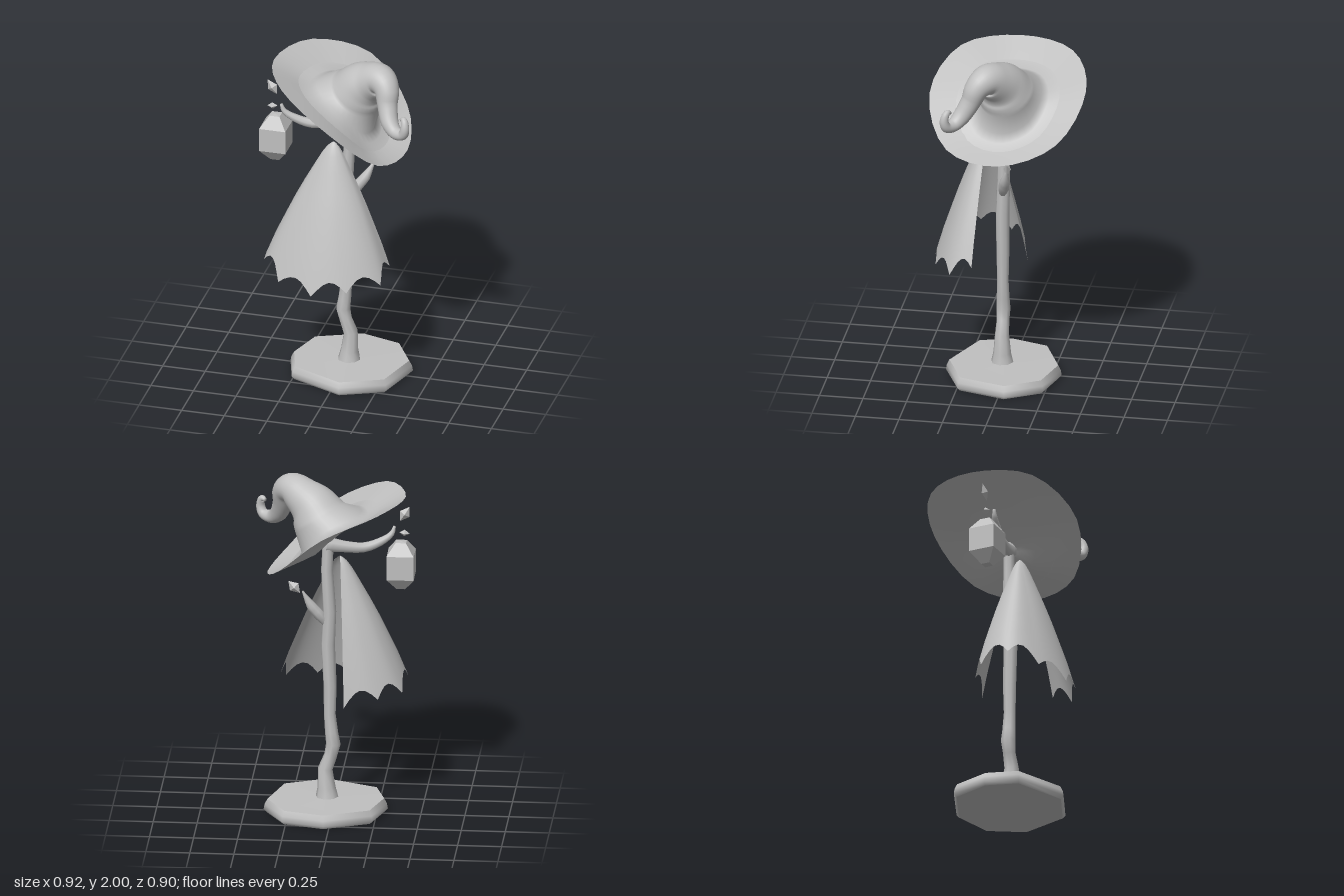
import * as THREE from 'three';

const grey = new THREE.MeshStandardMaterial({ color: 0xc0c0c0, side: THREE.DoubleSide });
grey.name = 'plain grey';

const V = (x, y, z) => new THREE.Vector3(x, y, z);

// Skin a list of point rows; columns wrap round when closed
function skin(rows, closed, flat) {
  const n = rows[0].length;
  const index = [];
  for (let i = 0; i < rows.length - 1; i++) {
    for (let j = 0; j < (closed ? n : n - 1); j++) {
      const k = (j + 1) % n;
      const a = i * n + j, b = i * n + k, c = a + n, d = b + n;
      index.push(a, b, c, b, d, c);
    }
  }
  let geo = new THREE.BufferGeometry().setFromPoints(rows.flat());
  geo.setIndex(index);
  if (flat) geo = geo.toNonIndexed();
  geo.computeVertexNormals();
  return geo;
}

// Tapered limb along a spline; each station is [x, y, z, radius]; skirt rows may come first
function limb(stations, sides, steps, skirt = []) {
  const curve = new THREE.CatmullRomCurve3(stations.map(s => V(s[0], s[1], s[2])));
  const rows = [];
  const last = stations.length - 1;
  const normal = V(1, 0, 0.1);
  for (let i = 0; i <= steps; i++) {
    const t = i / steps;
    const p = curve.getPoint(t), tan = curve.getTangent(t);
    normal.addScaledVector(tan, -normal.dot(tan)).normalize();
    const side = tan.clone().cross(normal);
    const k = Math.min(Math.floor(t * last), last - 1);
    const r = THREE.MathUtils.lerp(stations[k][3], stations[k + 1][3], t * last - k);
    rows.push(Array.from({ length: sides }, (_, j) => {
      const a = (j / sides) * Math.PI * 2;
      return p.clone().addScaledVector(normal, r * Math.cos(a)).addScaledVector(side, r * Math.sin(a));
    }));
  }
  rows.push(rows[steps].map(() => curve.getPoint(1)));
  return skin([...skirt, ...rows], true);
}

// Uneven eight-sided foot with a softened edge
function makeBase() {
  const outline = [[0.35, -0.06], [0.23, -0.265], [-0.01, -0.33], [-0.28, -0.215],
    [-0.35, 0.01], [-0.29, 0.2], [0.02, 0.33], [0.27, 0.22]];
  // repeated levels keep the rims crisp
  const levels = [[0, 0], [0.95, 0], [0.95, 0], [1, 0.02], [0.985, 0.05], [0.94, 0.08], [0.94, 0.08], [0, 0.085]];
  return skin(levels.map(([s, y]) => outline.map(([x, z]) => V(0.04 + x * s, y, 0.02 + z * s))), true);
}

// Open-backed cape with a scalloped hem; hem tips are [x, z, y]
function makeCape() {
  const tips = [[0.31, 0.16, 0.77], [0.29, 0.29, 0.71], [0.12, 0.40, 0.69], [-0.08, 0.435, 0.66],
    [-0.29, 0.365, 0.69], [-0.41, 0.23, 0.75], [-0.39, 0.05, 0.71], [-0.26, -0.05, 0.70], [-0.07, -0.10, 0.66]];
  const hem = new THREE.CatmullRomCurve3(tips.map(([x, z, y]) => V(x, y, z)));
  // [fraction of drop, fraction of spread]
  const profile = [[0, 0], [0.012, 0.04], [0.04, 0.1], [0.1, 0.18], [0.2, 0.285], [0.36, 0.45],
    [0.5, 0.585], [0.63, 0.7], [0.82, 0.865], [1, 1]];
  const count = (tips.length - 1) * 6;
  return skin(profile.map(([drop, spread]) => Array.from({ length: count + 1 }, (_, j) => {
    const p = hem.getPoint(j / count);
    const lift = 0.075 * Math.sin(Math.PI * ((j % 6) / 6));
    const pull = 1 - lift * 0.9;
    return V(-0.03 + (p.x + 0.03) * spread * pull,
      1.5 - (1.5 - p.y - lift) * drop,
      0.12 + (p.z - 0.12) * spread * pull);
  })), false);
}

// Tilted, wavy hat brim: ring of points at fraction s from centre to rim
const SIDES = 32;
const rim = new THREE.CatmullRomCurve3([
  V(0.37, 1.44, 0), V(0.28, 1.48, 0.31), V(0.03, 1.71, 0.45), V(-0.28, 1.885, 0.32),
  V(-0.415, 1.91, 0), V(-0.28, 1.9, -0.32), V(0.03, 1.79, -0.45), V(0.28, 1.555, -0.32)], true);
function brimRing(s, lift = 0, turn = 1) {
  return Array.from({ length: SIDES }, (_, j) => {
    const p = rim.getPoint(((turn * j + SIDES) % SIDES) / SIDES);
    const rise = p.y - 1.61;
    return V(0.03 + (p.x - 0.03) * s, 1.61 + rise * Math.pow(s, rise < 0 ? 0.6 : 0.8) + lift, p.z * s);
  });
}

export function createModel() {
  const model = new THREE.Group();
  const add = (name, geo, parent = model) => {
    const mesh = new THREE.Mesh(geo, grey);
    mesh.name = name;
    parent.add(mesh);
    return mesh;
  };

  add('base', makeBase());

  // Crooked wooden post and its two branches
  add('post', limb([[0.035, 0.07, 0.03, 0.068], [0.038, 0.14, 0.03, 0.052], [0.045, 0.25, 0.03, 0.042],
    [0.015, 0.33, 0.03, 0.037], [0, 0.4, 0.03, 0.042], [0.01, 0.47, 0.03, 0.038], [0.02, 0.58, 0.03, 0.034],
    [0.018, 0.75, 0.03, 0.038], [0.03, 1.0, 0.03, 0.04], [0.02, 1.2, 0.025, 0.038],
    [0.035, 1.45, 0.02, 0.034], [0.03, 1.58, 0.02, 0.032], [0.03, 1.68, 0.02, 0.032]], 8, 12));
  add('lanternBranch', limb([[0.04, 1.605, 0.02, 0.045], [-0.06, 1.585, 0.04, 0.034], [-0.17, 1.572, 0.07, 0.029],
    [-0.26, 1.6, 0.09, 0.024], [-0.325, 1.645, 0.105, 0.016], [-0.342, 1.69, 0.11, 0.008]], 8, 15));
  add('shortBranch', limb([[0.03, 1.11, 0.03, 0.018], [0.08, 1.18, 0.015, 0.032],
    [0.125, 1.24, 0, 0.028], [0.17, 1.33, -0.02, 0.005]], 8, 9));

  add('cape', makeCape());

  // Hat with a drooping, curled point; the crown flares into the brim
  const hat = new THREE.Group();
  hat.name = 'hat';
  model.add(hat);
  add('brim', skin([0, 0.2, 0.4, 0.6, 0.8, 1].map(s => brimRing(s)), true), hat);
  const flare = [[0.66, 0], [0.52, 0.015], [0.43, 0.05]].map(([s, lift]) => brimRing(s, lift, -1));
  add('crown', limb([[0.07, 1.765, 0, 0.165], [0.115, 1.83, 0.02, 0.138],
    [0.17, 1.875, 0.045, 0.112], [0.235, 1.91, 0.085, 0.09], [0.282, 1.88, 0.13, 0.072],
    [0.297, 1.8, 0.165, 0.058], [0.325, 1.715, 0.215, 0.05], [0.37, 1.676, 0.255, 0.038],
    [0.42, 1.685, 0.285, 0.03], [0.435, 1.73, 0.295, 0.025], [0.425, 1.775, 0.28, 0.019],
    [0.405, 1.77, 0.265, 0.01]], SIDES, 44, flare), hat);

  // Square lantern with pointed ends
  const lantern = [[0, 1.33], [0.025, 1.33], [0.077, 1.4], [0.077, 1.54], [0.03, 1.608], [0, 1.612]];
  add('lantern', skin(lantern.map(([h, y]) => [[1, 1], [1, -1], [-1, -1], [-1, 1]]
    .map(([x, z]) => V(-0.381 + x * h, y, 0.085 + z * h))), true, true));

  // Floating crystals: position, half sizes, tilt
  [[[-0.402, 1.776, 0.08], [0.032, 0.052, 0.02], 0.57],
    [[-0.4, 1.66, 0.085], [0.03, 0.02, 0.025], 0.1],
    [[0.217, 1.358, -0.03], [0.033, 0.049, 0.022], -0.75]].forEach(([pos, size, tilt], i) => {
    const crystal = add('crystal' + (i + 1), new THREE.OctahedronGeometry(1));
    crystal.position.set(...pos);
    crystal.scale.set(...size);
    crystal.rotation.z = tilt;
  });

  return model;
}
